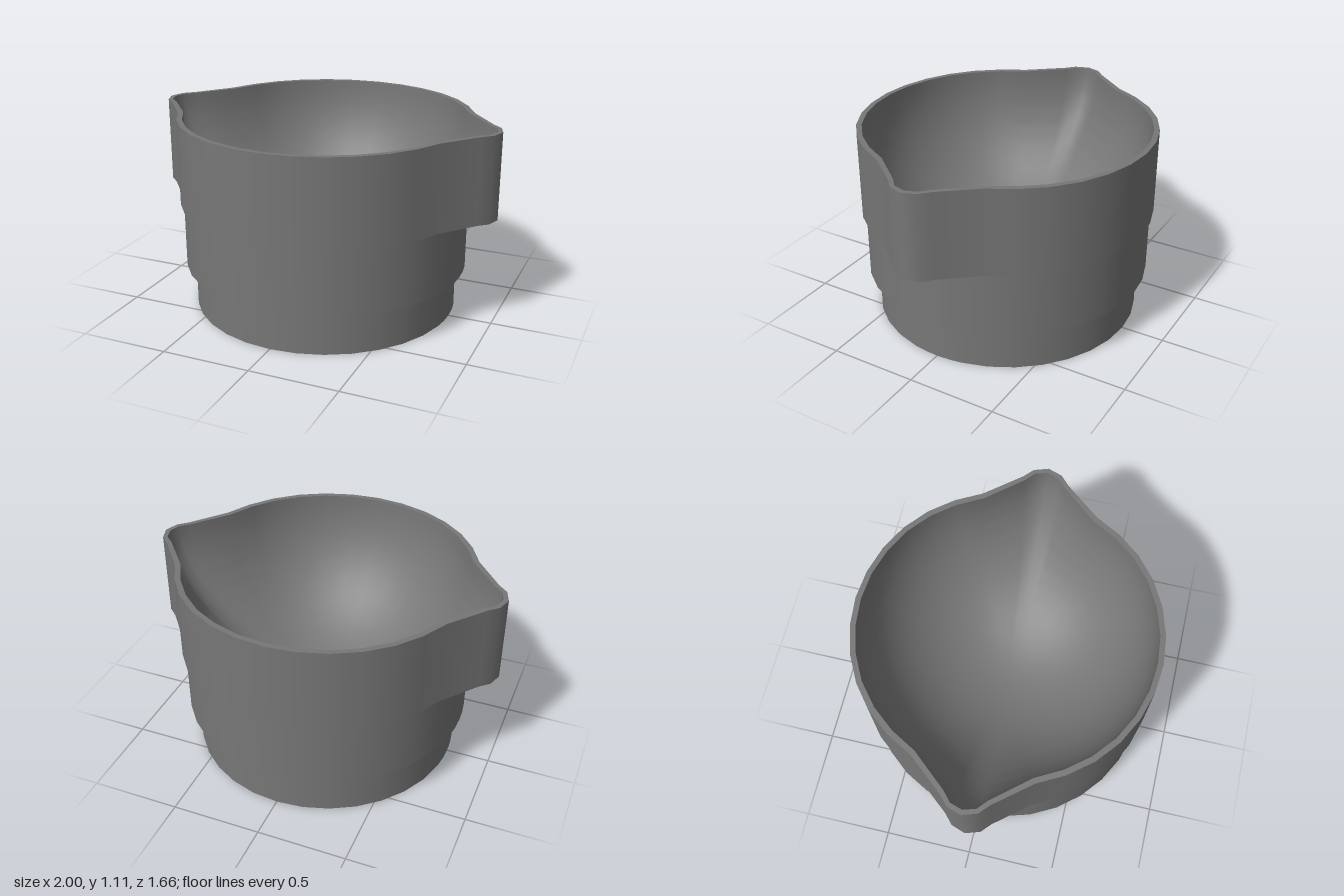
import * as THREE from 'three';

const material = new THREE.MeshStandardMaterial({ color: 0x777777, side: THREE.DoubleSide });

// Plan outlines: one quadrant from +z round to +x, mirrored into a closed loop
const SPOUTED = [[0, 0.828], [0.16, 0.812], [0.317, 0.765], [0.46, 0.69], [0.586, 0.586],
  [0.687, 0.46], [0.763, 0.32], [0.92, 0.128], [0.973, 0.08], [1, 0]];
const SPOUTED_INNER = [[0, 0.798], [0.154, 0.783], [0.306, 0.737], [0.443, 0.665], [0.564, 0.564],
  [0.661, 0.443], [0.737, 0.305], [0.9, 0.112], [0.951, 0.068], [0.972, 0]];
const ANGLES = [0, 11.25, 22.5, 33.75, 45, 56.25, 67.5, 78.75, 84.4, 90];

function mirrorQuadrant(q) {
  const back = q.slice(0, -1).reverse().map(([x, z]) => [x, -z]);
  const half = [...q, ...back];
  const left = half.slice(1, -1).reverse().map(([x, z]) => [-x, z]);
  return [...half, ...left];
}

const circle = (r) => mirrorQuadrant(ANGLES.map((d) => {
  const a = THREE.MathUtils.degToRad(d);
  return [r * Math.sin(a), r * Math.cos(a)];
}));

// Skin a stack of closed loops; each ring is { y, loop }.
// Diagonals alternate so the smooth normals stay symmetric.
function loft(name, rings) {
  const n = rings[0].loop.length;
  const positions = [];
  const index = [];
  rings.forEach(({ y, loop }) => loop.forEach(([x, z]) => positions.push(x, y, z)));
  for (let i = 0; i < rings.length - 1; i++) {
    for (let j = 0; j < n; j++) {
      const k = (j + 1) % n;
      const a = i * n + j, b = i * n + k, c = a + n, d = b + n;
      if ((i + j) % 2) index.push(a, b, d, a, d, c);
      else index.push(a, b, c, b, d, c);
    }
  }
  const geometry = new THREE.BufferGeometry();
  geometry.setAttribute('position', new THREE.Float32BufferAttribute(positions, 3));
  geometry.setIndex(index);
  geometry.computeVertexNormals();
  const mesh = new THREE.Mesh(geometry, material);
  mesh.name = name;
  return mesh;
}

export function createModel() {
  const group = new THREE.Group();
  group.name = 'spoutedCup';

  const TOP = 1.105, STEP2 = 0.617, STEP1 = 0.248;
  const base = circle(0.755);
  const middle = circle(0.808);
  const outer = mirrorQuadrant(SPOUTED);
  const inner = mirrorQuadrant(SPOUTED_INNER);

  // Stepped thin outer shell, open underneath
  const shell = [
    ['baseWall', 0, base], ['baseLedge', STEP1, base],
    ['middleWall', STEP1, middle], ['spoutLedge', STEP2, middle],
    ['spoutedWall', STEP2, outer], ['rim', TOP, outer], ['end', TOP, inner],
  ];
  for (let i = 0; i < shell.length - 1; i++) {
    const [name, y, loop] = shell[i];
    const [, y2, loop2] = shell[i + 1];
    group.add(loft(name, [{ y, loop }, { y: y2, loop: loop2 }]));
  }

  // Hemispherical bowl hung from the rim, the spouts fading out with depth
  const R = 0.797, ROWS = 24;
  const bowl = [];
  for (let i = 0; i <= ROWS; i++) {
    const t = (i / ROWS) * Math.PI / 2;
    const c = Math.cos(t);
    const loop = inner.map(([x, z]) => {
      const r = Math.hypot(x, z);
      const s = c * (R + (r - R) * c ** 4) / r;
      return [x * s, z * s];
    });
    bowl.push({ y: TOP - R * Math.sin(t), loop });
  }
  group.add(loft('bowl', bowl));

  return group;
}
